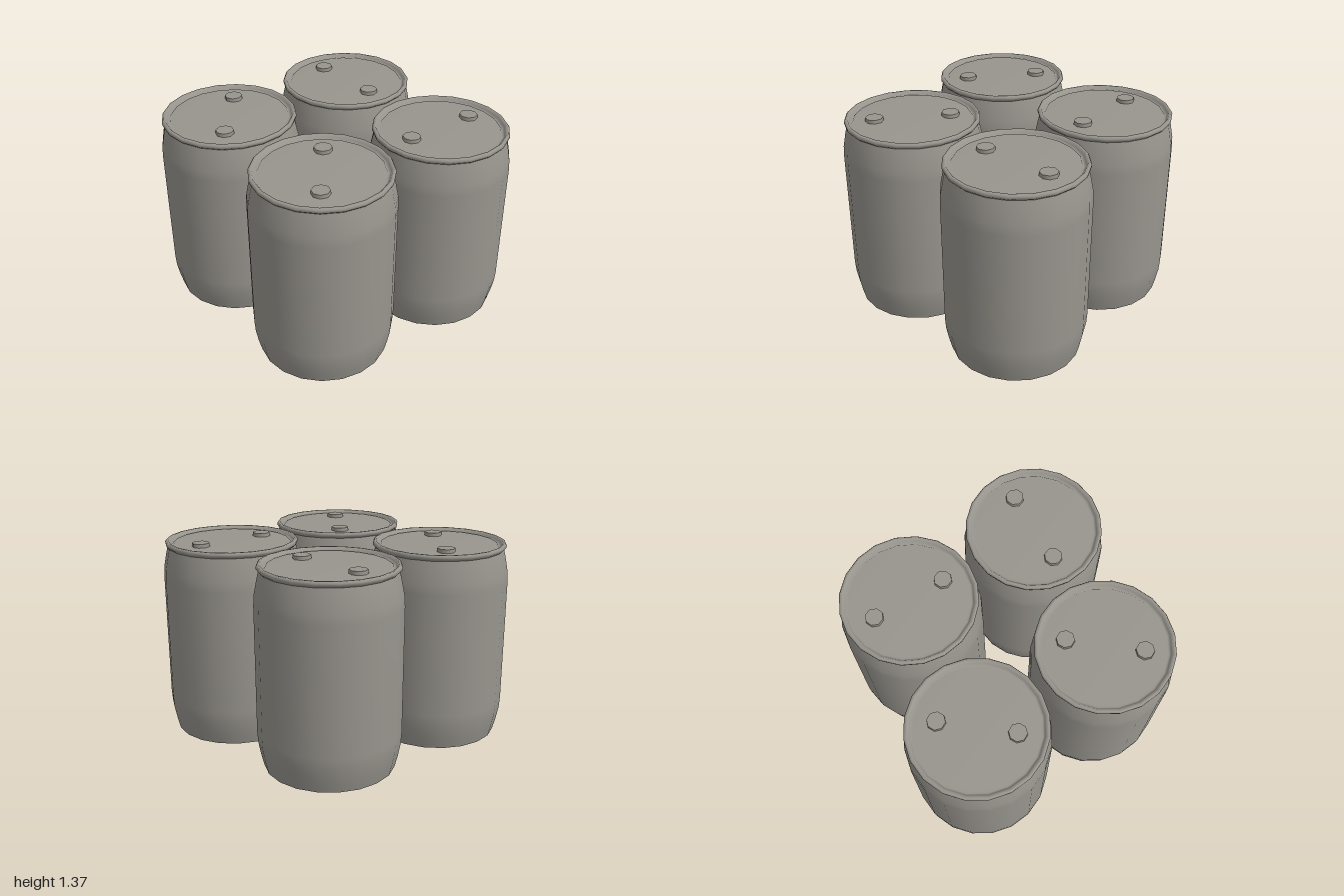
import * as THREE from 'three';

const SIDES = 20;

export function createModel() {
  const steel = new THREE.MeshStandardMaterial({ color: 0x98958e });
  steel.name = 'grey steel';

  const lathe = (pts) => new THREE.LatheGeometry(pts.map(([r, y]) => new THREE.Vector2(r, y)), SIDES);

  // Tapered barrel wall with neck
  const wallGeo = lathe([
    [0.435, 0], [0.455, 0.08], [0.472, 0.17], [0.477, 0.25], [0.477, 0.65],
    [0.477, 1.1], [0.473, 1.17], [0.453, 1.27], [0.441, 1.32],
  ]);
  // Rolled rim, groove and raised lid with a softened edge
  const topGeo = lathe([
    [0.441, 1.32], [0.455, 1.333], [0.457, 1.348], [0.449, 1.36], [0.434, 1.36],
    [0.424, 1.345], [0.411, 1.328], [0.4, 1.342], [0, 1.342],
  ]);
  const baseGeo = new THREE.CircleGeometry(0.435, SIDES);
  baseGeo.rotateX(Math.PI / 2);
  const bungGeo = new THREE.CylinderGeometry(0.06, 0.062, 0.03, 8);

  function makeDrum(name, x, z, turn) {
    const drum = new THREE.Group();
    drum.name = name;
    const add = (part, geo, px = 0, py = 0) => {
      const mesh = new THREE.Mesh(geo, steel);
      mesh.name = part;
      mesh.position.set(px, py, 0);
      drum.add(mesh);
    };
    add('wall', wallGeo);
    add('rimAndLid', topGeo);
    add('base', baseGeo);
    // Two filler caps on opposite sides of the lid
    for (const side of [-1, 1]) add(side < 0 ? 'firstCap' : 'secondCap', bungGeo, side * 0.255, 1.352);
    drum.position.set(x, 0, z);
    drum.rotation.y = turn;
    return drum;
  }

  const model = new THREE.Group();
  model.name = 'drums';
  const deg = Math.PI / 180;
  model.add(
    makeDrum('backRightDrum', -0.455, -0.483, 0),
    makeDrum('backLeftDrum', 0.513, -0.498, 88 * deg),
    makeDrum('frontRightDrum', -0.525, 0.488, -40 * deg),
    makeDrum('frontLeftDrum', 0.447, 0.455, -40 * deg),
  );
  return model;
}
